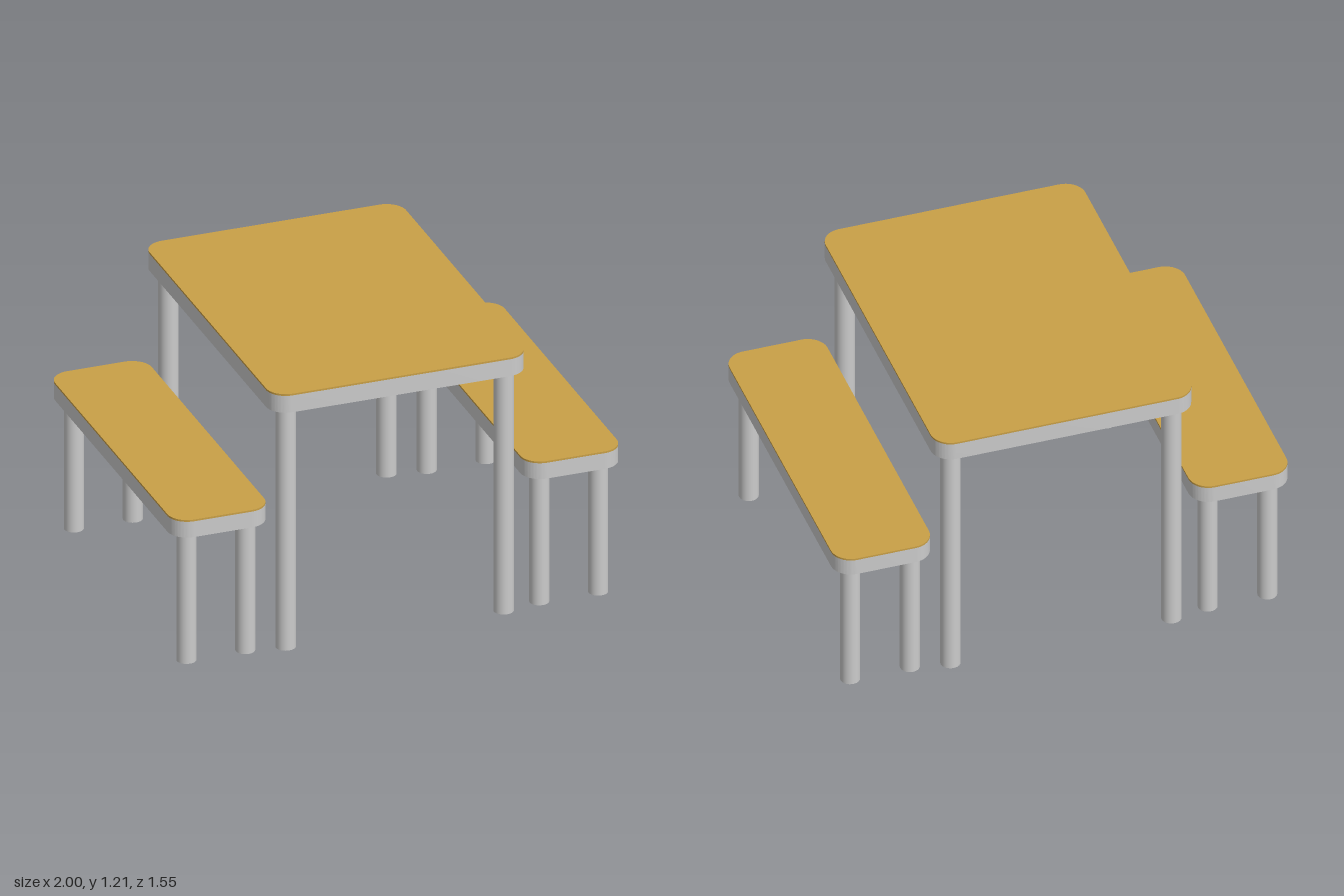
import * as THREE from 'three';
import { toCreasedNormals } from 'three/addons/utils/BufferGeometryUtils.js';

const grey = new THREE.MeshStandardMaterial({ color: 0xcccccc });
const wood = new THREE.MeshStandardMaterial({ color: 0xc9a047 });

// Rounded rectangle outline centred on the origin
function roundedRect(target, hw, hd, r) {
  target.moveTo(hw, -hd + r);
  target.lineTo(hw, hd - r);
  target.absarc(hw - r, hd - r, r, 0, Math.PI / 2);
  target.lineTo(-hw + r, hd);
  target.absarc(-hw + r, hd - r, r, Math.PI / 2, Math.PI);
  target.lineTo(-hw, -hd + r);
  target.absarc(-hw + r, -hd + r, r, Math.PI, Math.PI * 1.5);
  target.lineTo(hw - r, -hd);
  target.absarc(hw - r, -hd + r, r, Math.PI * 1.5, Math.PI * 2);
  return target;
}

// Upright extrusion of a flat outline from y0 to y1
function slab(name, shape, y0, y1, material) {
  const geo = new THREE.ExtrudeGeometry(shape, { depth: y1 - y0, bevelEnabled: false, curveSegments: 10 });
  geo.rotateX(-Math.PI / 2);
  geo.translate(0, y0, 0);
  const mesh = new THREE.Mesh(toCreasedNormals(geo, 0.6), material);
  mesh.name = name;
  return mesh;
}

// A top with a hollow rim below it and four round legs
function furniture(name, { hw, hd, r, bottom, top, legX, legZ, legR }) {
  const group = new THREE.Group();
  group.name = name;
  const board = 0.008, wall = 0.014;

  group.add(slab('top', roundedRect(new THREE.Shape(), hw, hd, r), top - board, top, wood));

  const rim = roundedRect(new THREE.Shape(), hw, hd, r);
  rim.holes.push(roundedRect(new THREE.Path(), hw - wall, hd - wall, r - wall));
  group.add(slab('rim', rim, bottom, top - board, grey));

  const height = top - board;
  const legGeo = new THREE.CylinderGeometry(legR, legR, height, 32);
  for (const sx of [-1, 1]) {
    for (const sz of [-1, 1]) {
      const leg = new THREE.Mesh(legGeo, grey);
      leg.name = 'leg';
      leg.position.set(sx * legX, height / 2, sz * legZ);
      group.add(leg);
    }
  }
  return group;
}

export function createModel() {
  const model = new THREE.Group();
  model.name = 'tableWithBenches';

  model.add(furniture('table', {
    hw: 0.57, hd: 0.773, r: 0.087, bottom: 1.122, top: 1.208,
    legX: 0.485, legZ: 0.692, legR: 0.043,
  }));

  // Benches on both sides
  for (const [name, side] of [['leftBench', 1], ['rightBench', -1]]) {
    const bench = furniture(name, {
      hw: 0.215, hd: 0.75, r: 0.087, bottom: 0.607, top: 0.688,
      legX: 0.131, legZ: 0.664, legR: 0.042,
    });
    bench.position.x = side * 0.785;
    model.add(bench);
  }
  return model;
}
